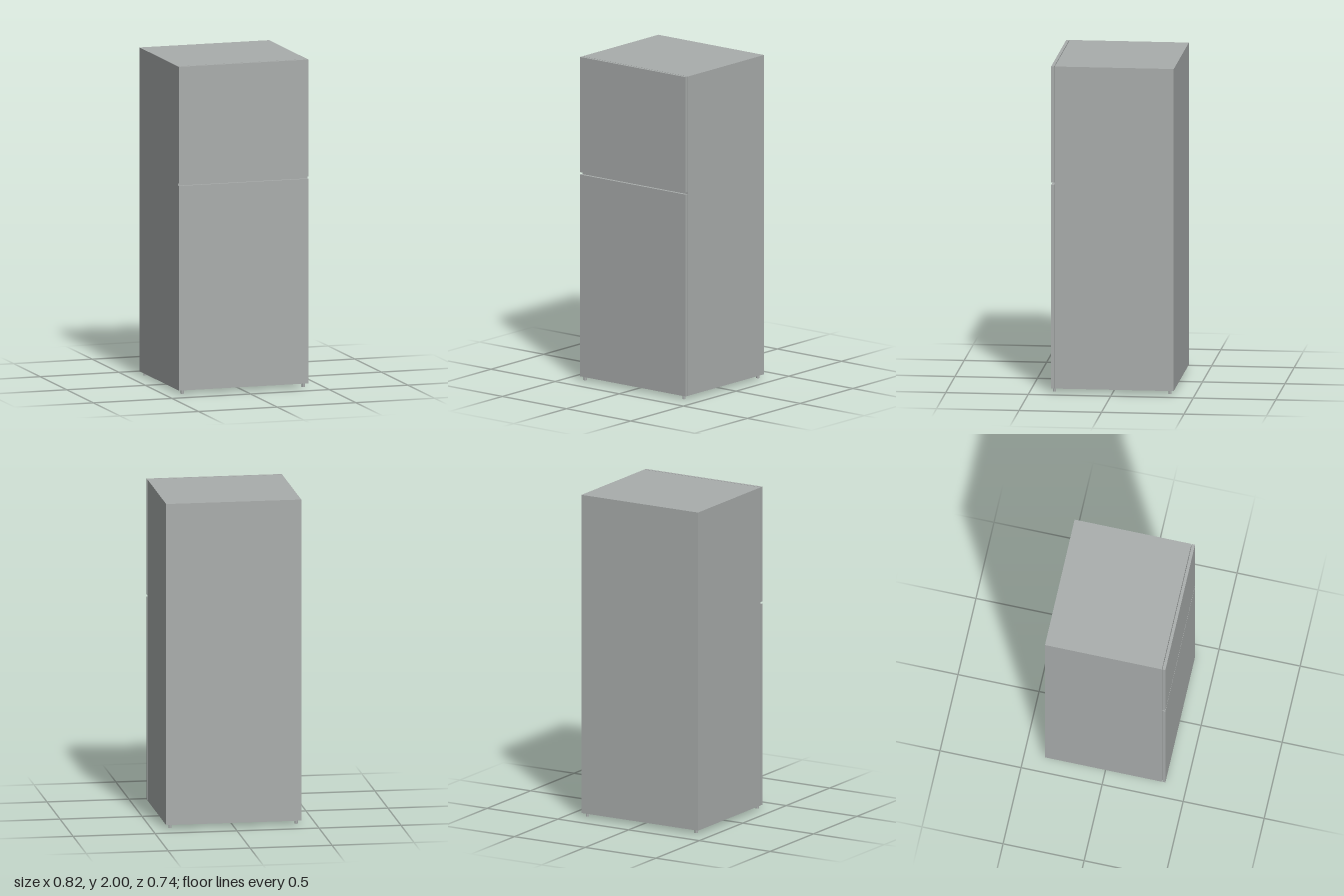
import * as THREE from 'three';

export function createModel() {
  const model = new THREE.Group();
  model.name = 'refrigerator';
  const steel = new THREE.MeshStandardMaterial({ name: 'brushed grey', color: 0xa9adac });
  const rubber = new THREE.MeshStandardMaterial({ name: 'dark seal', color: 0x6a6d6c });

  const add = (name, geometry, material, x, y, z) => {
    const mesh = new THREE.Mesh(geometry, material);
    mesh.name = name;
    mesh.position.set(x, y, z);
    model.add(mesh);
  };
  // box spanning given y and z ranges, centred on x
  const slab = (name, width, [y0, y1], [z0, z1], material) =>
    add(name, new THREE.BoxGeometry(width, y1 - y0, z1 - z0), material, 0, (y0 + y1) / 2, (z0 + z1) / 2);

  // cabinet
  slab('cabinet', 0.824, [0.022, 2], [-0.372, 0.349], steel);

  // doors, each held just off the cabinet by an inset seal
  for (const [name, y0, y1] of [['fridge', 0.022, 1.272], ['freezer', 1.286, 2]]) {
    slab(name + 'Door', 0.824, [y0, y1], [0.353, 0.371], steel);
    slab(name + 'Seal', 0.706, [y0 + 0.03, y1 - 0.03], [0.348, 0.354], rubber);
  }

  // feet
  const foot = new THREE.CylinderGeometry(0.01, 0.01, 0.024, 20);
  for (const [side, x] of [['Left', 0.385], ['Right', -0.385]])
    for (const [end, z] of [['front', 0.354], ['back', -0.347]])
      add(end + side + 'Foot', foot, steel, x, 0.012, z);

  return model;
}
